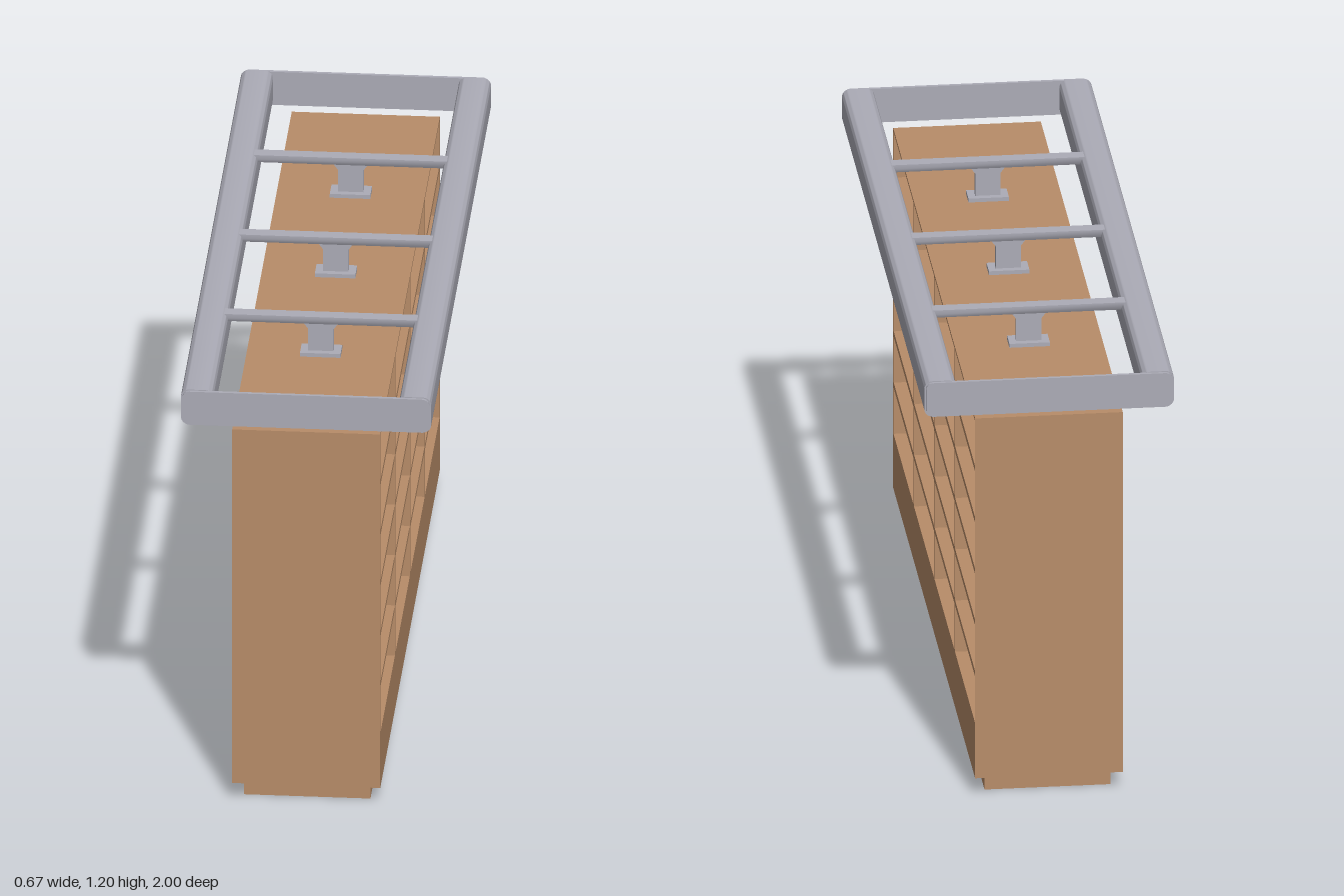
import * as THREE from 'three';
import { toCreasedNormals } from 'three/addons/utils/BufferGeometryUtils.js';

const wood = new THREE.MeshStandardMaterial({ name: 'wood', color: 0xb88d69 });
const metal = new THREE.MeshStandardMaterial({ name: 'greyMetal', color: 0xacacb7 });

function add(group, name, geometry, material, x = 0, y = 0, z = 0) {
  const mesh = new THREE.Mesh(geometry, material);
  mesh.name = name;
  mesh.position.set(x, y, z);
  group.add(mesh);
  return mesh;
}

// Box given by its size, bottom height and centre
function box(group, name, material, w, h, d, x, bottom, z) {
  return add(group, name, new THREE.BoxGeometry(w, h, d), material, x, bottom + h / 2, z);
}

// Extrude a shape along z, centred on z = 0
function extrudeCentred(shape, length) {
  const g = new THREE.ExtrudeGeometry(shape, { depth: length, bevelEnabled: false, curveSegments: 6 });
  g.translate(0, 0, -length / 2);
  return toCreasedNormals(g, 0.6);
}

// Bar with a rounded rectangular section, running along z
function roundedBar(w, h, length, r) {
  const s = new THREE.Shape();
  const a = w / 2 - r, b = h / 2 - r;
  s.absarc(a, -b, r, -Math.PI / 2, 0);
  s.absarc(a, b, r, 0, Math.PI / 2);
  s.absarc(-a, b, r, Math.PI / 2, Math.PI);
  s.absarc(-a, -b, r, Math.PI, Math.PI * 1.5);
  return extrudeCentred(s, length);
}

// Closed polygon shape from [x, y] pairs
const polygon = (points) => new THREE.Shape(points.map(([x, y]) => new THREE.Vector2(x, y)));

export function createModel() {
  const model = new THREE.Group();
  model.name = 'doubleSidedShelf';

  // Cabinet: plinth and solid base
  const cabinet = new THREE.Group();
  cabinet.name = 'cabinet';
  model.add(cabinet);
  const W = 0.394, L = 1.972, TOP = 1.087, FLOOR = 0.2, WALL = 0.008;
  box(cabinet, 'plinth', wood, 0.336, 0.049, 1.9, 0, 0, 0);
  box(cabinet, 'base', wood, W, FLOOR - 0.049, L, 0, 0.049, 0);

  // Back-to-back cells, 4 by 6 on each side; inner walls are twice as thick
  const height = TOP - FLOOR, columnPitch = L / 4, rowPitch = height / 6;
  box(cabinet, 'backPanel', wood, 2 * WALL, height - WALL, L - WALL, 0, FLOOR, 0);
  for (const s of [-1, 1]) {
    box(cabinet, 'endPanel', wood, W, height, WALL, 0, FLOOR, s * (L - WALL) / 2);
  }
  const columns = [-columnPitch, 0, columnPitch];
  for (const z of columns) {
    box(cabinet, 'divider', wood, W, height - WALL, 2 * WALL, 0, FLOOR, z);
  }
  const inside = L - 2 * WALL;
  box(cabinet, 'bottomShelf', wood, W, WALL, inside, 0, FLOOR, 0);
  box(cabinet, 'topPanel', wood, W, WALL, inside, 0, TOP - WALL, 0);
  for (let i = 1; i < 6; i++) {
    box(cabinet, 'shelf', wood, W - 0.001, 2 * WALL, inside, 0, FLOOR + i * rowPitch - WALL, 0);
  }

  // Frame above the cabinet: rounded side rails and slightly smaller end plates
  const frame = new THREE.Group();
  frame.name = 'topFrame';
  model.add(frame);
  const frameY = 1.1515, frameH = 0.102;
  for (const s of [-1, 1]) {
    add(frame, 'sideRail', roundedBar(0.086, frameH, 1.984, 0.022), metal, s * 0.29, frameY, 0);
    add(frame, 'endPlate', roundedBar(0.658, frameH - 0.005, 0.01, 0.02), metal, 0, frameY, s * 0.995);
  }

  // Brackets: foot, stem flaring under the bar, and chamfered crossbar
  const stemGeometry = extrudeCentred(polygon([
    [-0.034, 0], [0.034, 0], [0.034, 0.064], [0.046, 0.08], [-0.046, 0.08], [-0.034, 0.064],
  ]), 0.024);
  const barGeometry = extrudeCentred(polygon([
    [-0.012, 0], [0.012, 0], [0.018, 0.011], [0.018, 0.023], [-0.018, 0.023], [-0.018, 0.011],
  ]), 0.522);
  for (const z of columns) {
    const bracket = new THREE.Group();
    bracket.name = 'bracket';
    bracket.position.z = z;
    model.add(bracket);
    box(bracket, 'foot', metal, 0.108, 0.011, 0.058, 0, TOP, 0);
    add(bracket, 'stem', stemGeometry, metal, 0, TOP + 0.011, 0);
    add(bracket, 'crossbar', barGeometry, metal, 0, 1.176, 0).rotation.y = Math.PI / 2;
  }
  return model;
}
